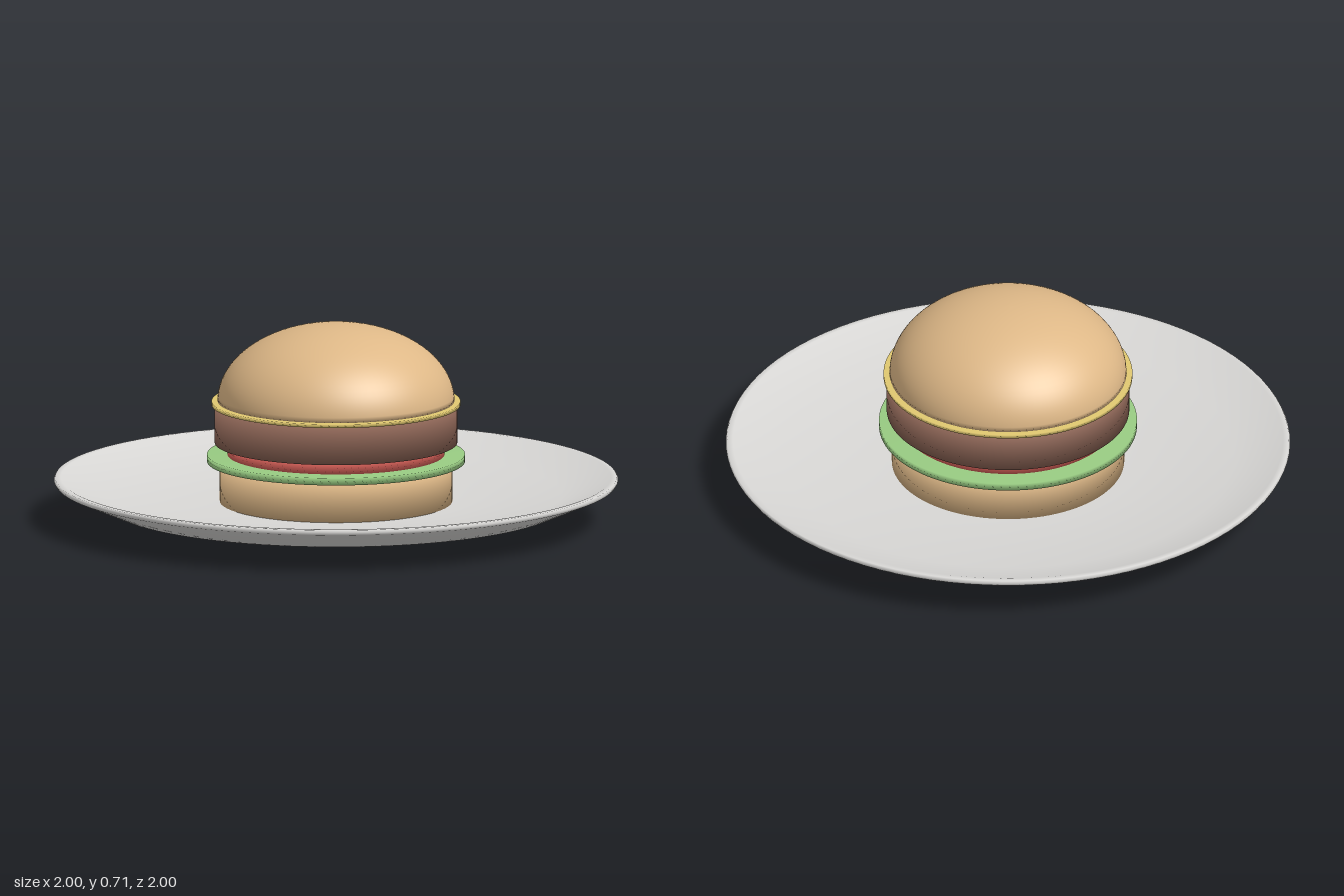
import * as THREE from 'three';

const paint = (name, color) => {
  const m = new THREE.MeshStandardMaterial({ color });
  m.name = name;
  return m;
};

export function createModel() {
  const group = new THREE.Group();
  const bun = paint('bun', 0xdeb887);
  const plateGrey = paint('plate grey', 0xd8d7d5);
  const lettuceGreen = paint('lettuce green', 0x98cb82);
  const tomatoRed = paint('tomato red', 0xde645c);
  const pattyBrown = paint('patty brown', 0x8d6556);
  const cheeseYellow = paint('cheese yellow', 0xe0c870);

  // Smoothly shaded solid of revolution from [radius, height] points, bottom to top
  const turn = (name, material, points) => {
    const profile = points.map(([r, y]) => new THREE.Vector2(r, y));
    const mesh = new THREE.Mesh(new THREE.LatheGeometry(profile, 96), material);
    mesh.name = name;
    group.add(mesh);
  };
  const disc = (name, material, r, bottom, top) =>
    turn(name, material, [[0, bottom], [r, bottom], [r, top], [0, top]]);

  // Plate with a foot, a shallow well and a raised rim
  turn('plate', plateGrey, [
    [0, 0], [0.405, 0], [0.43, 0.035], [0.82, 0.066], [0.995, 0.142], [1, 0.152],
    [0.995, 0.16], [0.975, 0.16], [0.8, 0.1], [0.43, 0.075], [0, 0.07],
  ]);

  // Stacked fillings
  disc('bottomBun', bun, 0.412, 0.072, 0.22);
  disc('lettuce', lettuceGreen, 0.457, 0.218, 0.244);
  disc('tomato', tomatoRed, 0.385, 0.244, 0.287);
  disc('patty', pattyBrown, 0.43, 0.286, 0.425);
  disc('cheese', cheeseYellow, 0.441, 0.422, 0.435);

  // Domed top bun
  const dome = [[0, 0.434]];
  for (let i = 0; i <= 24; i++) {
    const a = (i / 24) * Math.PI / 2;
    dome.push([0.42 * Math.cos(a), 0.436 + 0.276 * Math.sin(a)]);
  }
  dome[dome.length - 1][0] = 0;
  turn('topBun', bun, dome);

  return group;
}
